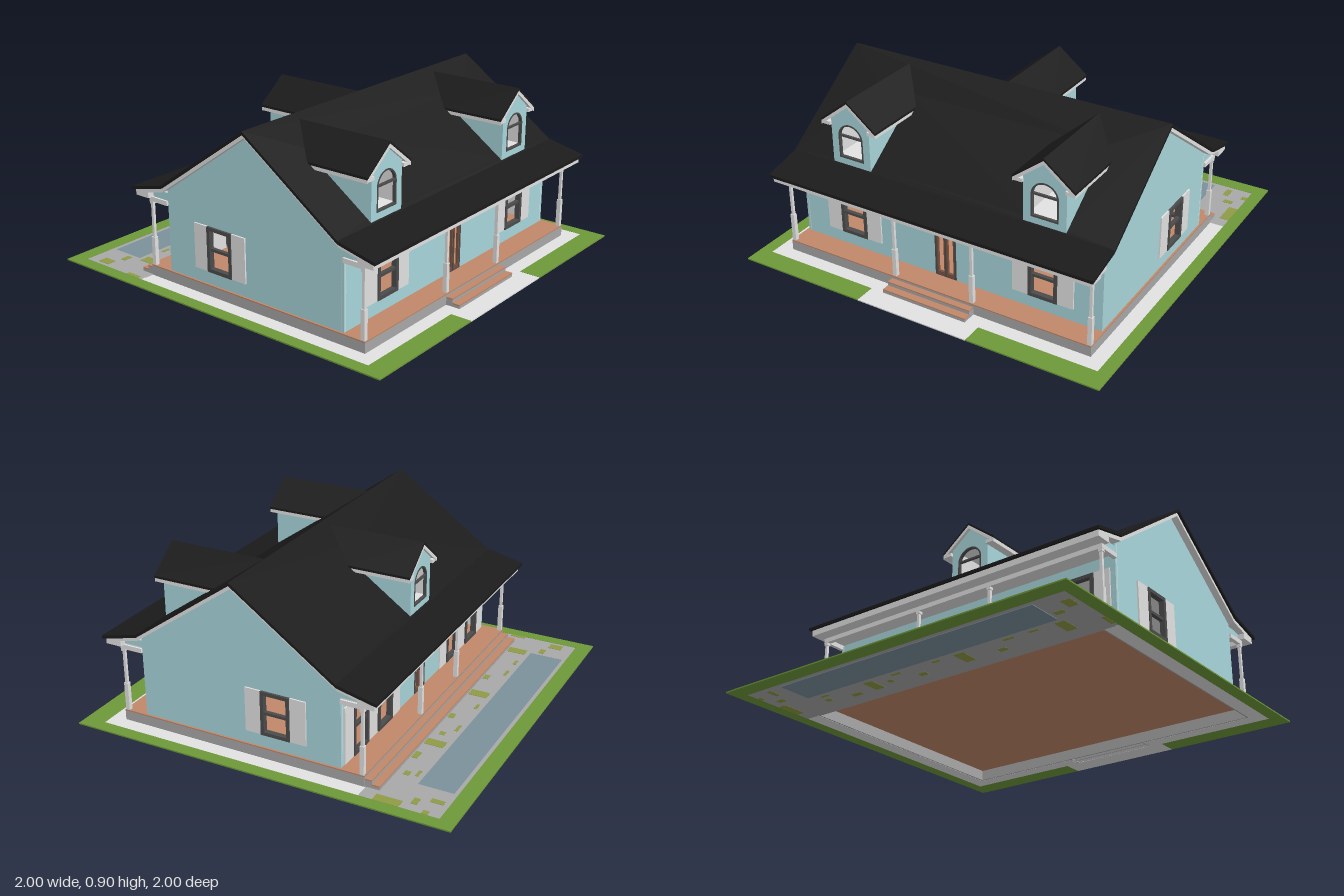
import * as THREE from 'three';

const mat = (name, color) => {
  const m = new THREE.MeshStandardMaterial({ color });
  m.name = name;
  return m;
};

export function createModel() {
  const siding = mat('blue siding', 0xa8d6db), roofing = mat('black shingle', 0x1b1b1b);
  const trim = mat('pale trim', 0xe2e2e2), timber = mat('deck timber', 0xc08768);
  const stone = mat('grey stone', 0xa8a8a8), dark = mat('dark frame', 0x4c4c4c);
  const brown = mat('door brown', 0x7a5240), water = mat('pool water', 0x7c919c);
  const moss = mat('moss green', 0x8f9a46), grass = mat('lawn green', 0x6d9839);

  const model = new THREE.Group();
  model.name = 'cottage';
  const house = new THREE.Group();
  house.name = 'house';
  house.position.z = 0.15;
  model.add(house);

  const add = (parent, name, geo, material) => {
    const m = new THREE.Mesh(geo, material);
    m.name = name;
    parent.add(m);
    return m;
  };
  // box given by its limits
  const box = (parent, name, material, x0, x1, y0, y1, z0, z1) =>
    add(parent, name, new THREE.BoxGeometry(x1 - x0, y1 - y0, z1 - z0), material)
      .position.set((x0 + x1) / 2, (y0 + y1) / 2, (z0 + z1) / 2);
  const poly = (pts, holes = []) => {
    const s = new THREE.Shape(pts.map(p => new THREE.Vector2(...p)));
    s.holes.push(...holes);
    return s;
  };
  const rect = (x0, x1, y0, y1) => [[x0, y0], [x1, y0], [x1, y1], [x0, y1]];
  // upright plate between two depths
  const plate = (parent, name, material, shape, z0, z1) => {
    const g = new THREE.ExtrudeGeometry(shape, { depth: z1 - z0, bevelEnabled: false, curveSegments: 10 });
    return add(parent, name, g.translate(0, 0, z0), material);
  };
  // plan outline laid over a height rule, from t0 to t1 below it
  const drape = (parent, name, material, shape, height, t0, t1) => {
    const g = new THREE.ExtrudeGeometry(shape, { depth: t1 - t0, bevelEnabled: false });
    const p = g.attributes.position;
    for (let i = 0; i < p.count; i++) {
      const x = p.getX(i), z = p.getY(i), t = p.getZ(i);
      p.setXYZ(i, x, height(x, z) - t0 - t, z);
    }
    g.computeVertexNormals();
    return add(parent, name, g, material);
  };
  const ground = (name, material, pts, y0, y1, holes) =>
    drape(model, name, material, poly(pts, holes), () => y1, 0, y1 - y0);

  // garden
  ground('lawn', grass, [[-1, -1], [1, -1], [1, 1], [0.31, 1], [0.31, 0.89], [0.935, 0.89], [0.935, -0.92],
    [-0.935, -0.92], [-0.935, 0.89], [-0.305, 0.89], [-0.305, 1], [-1, 1]], 0.003, 0.01);
  // paving is left open beneath the deck and the front steps
  ground('pavement', trim, [[-0.935, -0.52], [-0.86, -0.52], [-0.86, 0.815], [-0.235, 0.815], [-0.235, 0.885],
    [0.235, 0.885], [0.235, 0.815], [0.86, 0.815], [0.86, -0.52], [0.935, -0.52], [0.935, 0.89], [0.31, 0.89],
    [0.31, 1], [-0.305, 1], [-0.305, 0.89], [-0.935, 0.89]], 0.003, 0.009);
  ground('patio', stone, rect(-0.935, 0.935, -0.92, -0.515), 0.003, 0.009,
    [poly(rect(-0.76, 0.725, -0.9, -0.72))]);
  ground('pool', water, rect(-0.76, 0.725, -0.9, -0.72), 0, 0.008);
  // moss patches: centre x, centre z, width, depth
  [[-0.89, -0.82, 0.05, 0.07], [-0.805, -0.77, 0.05, 0.03], [-0.75, -0.645, 0.055, 0.1], [-0.61, -0.687, 0.05, 0.016],
    [-0.475, -0.687, 0.06, 0.016], [-0.385, -0.61, 0.045, 0.03], [-0.195, -0.645, 0.058, 0.1], [-0.062, -0.687, 0.05, 0.016],
    [0.08, -0.61, 0.045, 0.03], [0.182, -0.687, 0.06, 0.016], [0.26, -0.638, 0.03, 0.03], [0.36, -0.645, 0.055, 0.1],
    [0.5, -0.61, 0.06, 0.03], [0.645, -0.687, 0.05, 0.016], [0.665, -0.638, 0.035, 0.03], [0.818, -0.86, 0.03, 0.065],
    [0.858, -0.77, 0.05, 0.03], [0.91, -0.655, 0.05, 0.13], [0.92, -0.845, 0.03, 0.03], [-0.925, -0.585, 0.02, 0.08],
  ].forEach(([x, z, w, d]) => box(model, 'mossPatch', moss, x - w / 2, x + w / 2, 0.002, 0.0105, z - d / 2, z + d / 2));

  // hollow deck: floor on a thin stone skirt
  drape(house, 'deckSkirt', stone, poly(rect(-0.86, 0.86, -0.665, 0.665), [poly(rect(-0.852, 0.852, -0.657, 0.657))]),
    () => 0.06, 0, 0.056);
  box(house, 'deckFloor', timber, -0.86, 0.86, 0.06, 0.066, -0.665, 0.665);
  // hollow steps: short flight in front, full width behind
  [[1, 0.235], [-1, 0.855]].forEach(([s, w]) => {
    const steps = new THREE.Group();
    steps.name = s > 0 ? 'frontSteps' : 'backSteps';
    steps.rotation.y = s > 0 ? 0 : Math.PI;
    house.add(steps);
    [[0.665, 0.7, 0.05], [0.7, 0.74, 0.029]].forEach(([z0, z1, y]) => {
      box(steps, 'stepTread', timber, -w, w, y - 0.006, y, z0, z1);
      box(steps, 'stepRiser', stone, -w, w, 0.004, y - 0.006, z1 - 0.005, z1);
      for (const k of [-1, 1]) box(steps, 'stepEnd', stone, k * (w - 0.003) - 0.003, k * (w - 0.003) + 0.003, 0.004, y - 0.006, z0, z1 - 0.005);
    });
  });

  // main roof: steep slopes with a shallower skirt over the porches
  const roofY = (x, z) => {
    const s = Math.abs(z);
    return s <= 0.54 ? 0.898 - s * 0.38 / 0.54 : 0.518 - (s - 0.54) * 0.23;
  };
  const dormers = [[-0.54, 1], [0.54, 1], [0, -1]];
  for (const s of [1, -1]) {
    const wells = () => dormers.filter(d => d[1] === s).map(([x]) => poly(rect(x - 0.1, x + 0.1, s * 0.16, s * 0.515)));
    for (const [name, m, w, e, t0, t1] of [['roof', roofing, 0.897, 0.74, 0, 0.016], ['roofTrim', trim, 0.885, 0.725, 0.016, 0.036]]) {
      drape(house, name + 'Slope', m, poly(rect(-w, w, 0, s * 0.54), wells()), roofY, t0, t1);
      drape(house, name + 'Skirt', m, poly(rect(-w, w, s * 0.54, s * e)), roofY, t0, t1);
    }
  }
  box(house, 'ceiling', trim, -0.84, 0.84, 0.468, 0.474, -0.53, 0.53);

  // window or door frame with bars, standing in an opening
  const fillOpening = (wall, { x, w, y0, y1, door }) => {
    const a = x - w / 2, b = x + w / 2, f = door ? 0.01 : 0.018;
    plate(wall, 'frame', dark, poly(rect(a, b, y0, y1), [poly(rect(a + f, b - f, y0 + (door ? 0.004 : f), y1 - f))]),
      -0.016, door ? 0.003 : 0.012);
    if (door) {
      const panes = [-1, 1].map(s => poly(rect(x + s * 0.027 - 0.016, x + s * 0.027 + 0.016, y0 + 0.022, y1 - 0.022)));
      plate(wall, 'doubleDoor', brown, poly(rect(a + f, b - f, y0 + 0.004, y1 - f), panes), -0.012, 0.001);
      box(wall, 'doorMullion', dark, x - 0.004, x + 0.004, y0 + 0.004, y1 - f, -0.014, 0.003);
    } else {
      const mid = (y0 + y1) / 2;
      box(wall, 'windowBar', dark, a + f, b - f, mid - 0.007, mid + 0.007, -0.014, 0.006);
    }
  };
  // wall with openings, pale lining and shutters
  const buildWall = (name, outline, openings, shutters, angle, dist) => {
    const wall = new THREE.Group();
    wall.name = name;
    wall.rotation.y = angle;
    wall.position.set(Math.sin(angle) * dist, 0, Math.cos(angle) * dist);
    house.add(wall);
    const holes = () => openings.map(o => poly(rect(o.x - o.w / 2, o.x + o.w / 2, o.y0, o.y1)));
    plate(wall, 'siding', siding, poly(outline, holes()), -0.012, 0);
    plate(wall, 'lining', trim, poly(outline, holes()), -0.016, -0.012);
    openings.forEach(o => fillOpening(wall, o));
    shutters.forEach(([x, y0]) => box(wall, 'shutter', trim, x - 0.042, x + 0.042, y0, 0.365, 0, 0.008));
  };
  const win = x => ({ x, w: 0.155, y0: 0.135, y1: 0.365 });
  const tall = x => ({ x, w: 0.15, y0: 0.07, y1: 0.365 });
  const door = { x: 0, w: 0.12, y0: 0.067, y1: 0.365, door: true };
  const longWall = rect(-0.85, 0.85, 0.065, 0.485);
  const gable = [[-0.54, 0.065], [0.54, 0.065], [0.54, 0.49], [0, 0.872], [-0.54, 0.49]];
  const sides = x => [[x - 0.12, 0.135], [x + 0.12, 0.135]];
  buildWall('frontWall', longWall, [win(-0.54), door, win(0.54)], [...sides(-0.54), ...sides(0.54)], 0, 0.54);
  buildWall('backWall', longWall, [tall(-0.66), tall(-0.405), door, tall(0.405), tall(0.66)],
    [-0.78, -0.533, -0.285, 0.285, 0.533, 0.78].map(x => [x, 0.07]), Math.PI, 0.54);
  buildWall('leftWall', gable, [win(0.2)], sides(0.2), Math.PI / 2, 0.85);
  buildWall('rightWall', gable, [win(-0.2)], sides(-0.2), -Math.PI / 2, 0.85);

  // porches, one along each long side
  for (const angle of [0, Math.PI]) {
    const porch = new THREE.Group();
    porch.name = angle ? 'backPorch' : 'frontPorch';
    porch.rotation.y = angle;
    house.add(porch);
    box(porch, 'eaveBox', trim, -0.885, 0.885, 0.428, 0.458, 0.64, 0.725);
    box(porch, 'porchCeiling', trim, -0.85, 0.85, 0.428, 0.434, 0.54, 0.65);
    box(porch, 'porchBeam', trim, -0.86, 0.86, 0.404, 0.428, 0.64, 0.662);
    for (const s of [-1, 1]) {
      box(porch, 'endBeam', trim, s * 0.85 - 0.01, s * 0.85 + 0.01, 0.404, 0.428, 0.54, 0.64);
      box(porch, 'endInfill', siding, s * 0.845 - 0.005, s * 0.845 + 0.005, 0.428, 0.468, 0.53, 0.65);
    }
    for (const x of [-0.848, -0.22, 0.22, 0.848]) {
      box(porch, 'postUpper', trim, x - 0.007, x + 0.007, 0.2, 0.405, 0.643, 0.657);
      box(porch, 'postLower', trim, x - 0.011, x + 0.011, 0.066, 0.215, 0.639, 0.661);
      box(porch, 'postCap', trim, x - 0.011, x + 0.011, 0.39, 0.405, 0.639, 0.661);
    }
  }

  // dormers
  const arch = (r, y0) => {
    const s = new THREE.Shape();
    s.moveTo(-r, y0).lineTo(r, y0).lineTo(r, 0.672);
    s.absarc(0, 0.672, r, 0, Math.PI, false);
    return s.lineTo(-r, y0);
  };
  const dormerY = x => 0.876 - 0.78 * Math.abs(x);
  for (const [x, s] of dormers) {
    const d = new THREE.Group();
    d.name = 'dormer';
    d.position.x = x;
    d.rotation.y = s > 0 ? 0 : Math.PI;
    house.add(d);
    plate(d, 'dormerFront', siding, poly([[-0.112, 0.5], [0.112, 0.5], [0.112, 0.765], [0, 0.853], [-0.112, 0.765]],
      [arch(0.068, 0.56)]), 0.522, 0.534);
    const frame = arch(0.072, 0.556);
    frame.holes.push(arch(0.064, 0.565));
    plate(d, 'archFrame', dark, frame, 0.52, 0.536);
    box(d, 'archBar', dark, -0.064, 0.064, 0.672, 0.682, 0.523, 0.535);
    box(d, 'dormerFloor', trim, -0.1, 0.1, 0.549, 0.555, 0.18, 0.522);
    for (const k of [-1, 1]) {
      const cheek = plate(d, 'dormerCheek', siding, poly([[-0.533, 0.5], [-0.2, 0.745], [-0.533, 0.765]]), 0, 0.01);
      cheek.rotation.y = Math.PI / 2;
      cheek.position.x = k > 0 ? 0.102 : -0.112;
      box(d, 'cheekLining', trim, k * 0.098 - 0.002, k * 0.098 + 0.002, 0.55, 0.755, 0.2, 0.522);
      drape(d, 'dormerRoof', roofing, poly([[0, 0.55], [k * 0.162, 0.55], [k * 0.162, 0.207], [0, 0.03]]), dormerY, 0, 0.012);
      drape(d, 'dormerTrim', trim, poly([[0, 0.549], [k * 0.16, 0.549], [k * 0.16, 0.23], [0, 0.07]]), dormerY, 0.012, 0.032);
      box(d, 'eaveReturn', trim, k * 0.134 - 0.024, k * 0.134 + 0.024, 0.724, 0.742, 0.24, 0.548);
    }
  }
  return model;
}
